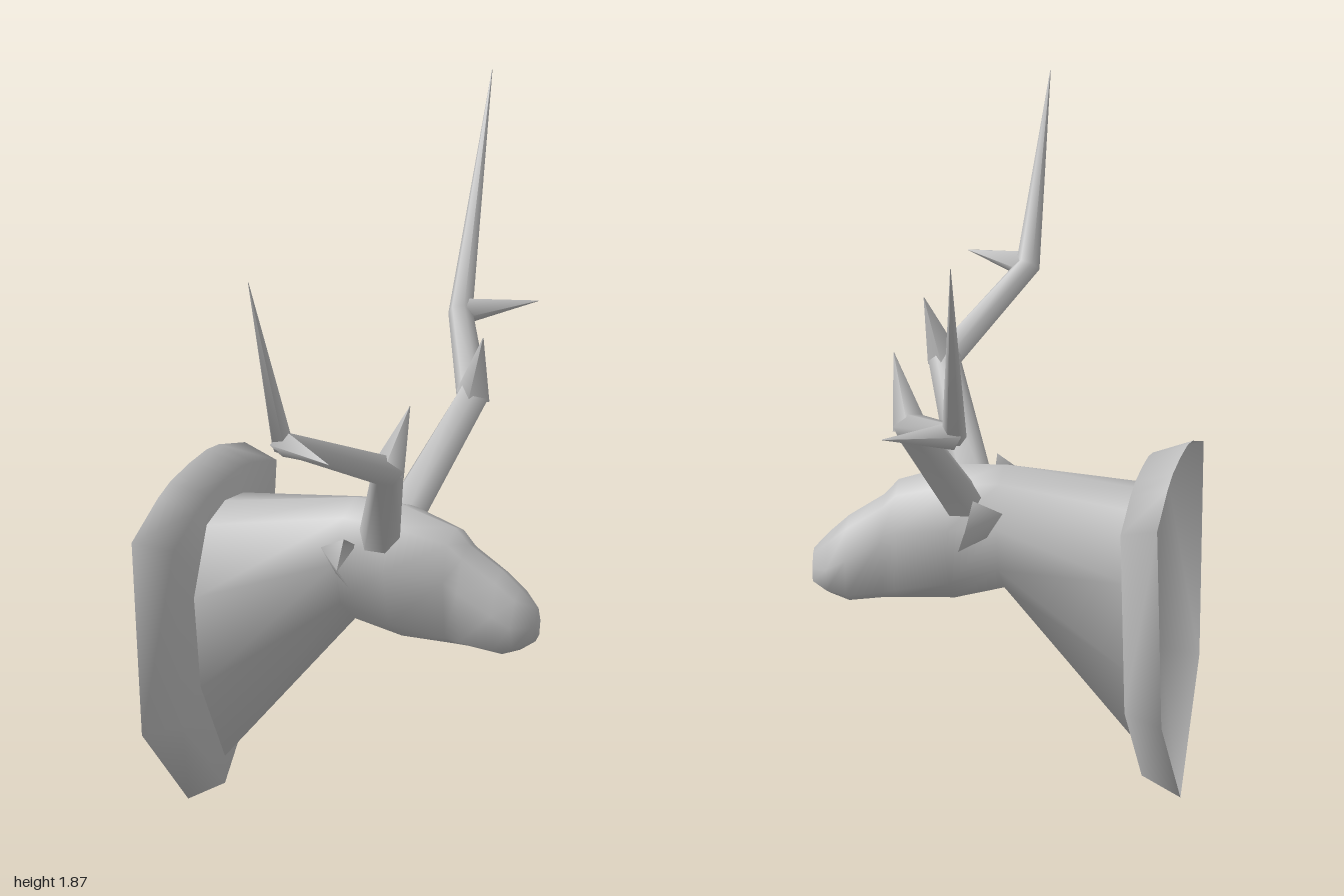
import * as THREE from 'three';

const MID = 0.15; // z of the head's own symmetry plane

// Skin a list of rings (arrays of Vector3, right-handed about the path), optionally closing the end.
function loft(rings, endPoint) {
  const n = rings[0].length, pos = [], idx = [];
  rings.forEach(r => r.forEach(p => pos.push(p.x, p.y, p.z)));
  for (let i = 0; i < rings.length - 1; i++) {
    for (let j = 0; j < n; j++) {
      const a = i * n + j, b = i * n + (j + 1) % n;
      idx.push(a, b, a + n, b, b + n, a + n);
    }
  }
  if (endPoint) {
    const base = (rings.length - 1) * n, tip = rings.length * n;
    pos.push(endPoint.x, endPoint.y, endPoint.z);
    for (let j = 0; j < n; j++) idx.push(base + j, base + (j + 1) % n, tip);
  }
  const g = new THREE.BufferGeometry();
  g.setAttribute('position', new THREE.Float32BufferAttribute(pos, 3));
  g.setIndex(idx);
  g.computeVertexNormals();
  return g;
}

// Mirrored ring in the plane x, from half-outline points [half width, y], top to bottom.
function mirrorRing(x, half) {
  const right = half.slice(1, -1).reverse().map(([w, y]) => [-w, y]);
  return [...half, ...right].map(([w, y]) => new THREE.Vector3(x, y, MID + w));
}

// Tapering limb through points [x, y, z] with a radius at each.
function limb(points, radii, sides) {
  const p = points.map(a => new THREE.Vector3(...a));
  const rings = p.map((c, i) => {
    const t = new THREE.Vector3();
    if (i > 0) t.add(c.clone().sub(p[i - 1]).normalize());
    if (i < p.length - 1) t.add(p[i + 1].clone().sub(c).normalize());
    t.normalize();
    const u = new THREE.Vector3(1, 0, 0).addScaledVector(t, -t.x).normalize();
    const v = t.clone().cross(u);
    return Array.from({ length: sides }, (_, k) => {
      const a = k / sides * Math.PI * 2;
      return c.clone().addScaledVector(u, Math.cos(a) * radii[i]).addScaledVector(v, Math.sin(a) * radii[i]);
    });
  });
  return loft(rings);
}

export function createModel() {
  const group = new THREE.Group();
  const grey = new THREE.MeshStandardMaterial({ color: 0xc0c0c0, side: THREE.DoubleSide });
  grey.name = 'plain grey';
  const add = (name, geometry, parent = group) => {
    const m = new THREE.Mesh(geometry, grey);
    m.name = name;
    parent.add(m);
  };

  // Shield-shaped wall plaque, a shell open at the back
  const shield = [[0, 0.995], [0.15, 0.99], [0.25, 0.973], [0.465, 0.91], [0.38, 0.31], [0, 0.0]];
  const face = shield.map(([w, y]) => [w * 0.91, 0.06 + y * 0.905]);
  add('plaque', loft([mirrorRing(-0.52, shield), mirrorRing(-0.41, face)], new THREE.Vector3(-0.41, 0.55, MID)));

  // Neck and head: x, then half-outline from top to bottom
  const sections = [
    [-0.41, [[0, 0.9], [0.15, 0.875], [0.255, 0.69], [0.2, 0.41], [0, 0.14]]],
    [-0.02, [[0, 0.955], [0.1, 0.925], [0.165, 0.81], [0.125, 0.68], [0, 0.595]]],
    [0.12, [[0, 0.95], [0.1, 0.915], [0.16, 0.8], [0.11, 0.63], [0, 0.56]]],
    [0.28, [[0, 0.9], [0.07, 0.87], [0.108, 0.77], [0.09, 0.6], [0, 0.555]]],
    [0.32, [[0, 0.855], [0.06, 0.83], [0.1, 0.74], [0.085, 0.59], [0, 0.553]]],
    [0.42, [[0, 0.79], [0.055, 0.765], [0.092, 0.68], [0.078, 0.575], [0, 0.54]]],
    [0.475, [[0, 0.74], [0.05, 0.72], [0.088, 0.65], [0.07, 0.585], [0, 0.56]]],
    [0.52, [[0, 0.69], [0.025, 0.68], [0.04, 0.64], [0.03, 0.6], [0, 0.59]]],
  ];
  add('head', loft(sections.map(([x, half]) => mirrorRing(x, half)), new THREE.Vector3(0.52, 0.64, MID)));

  // Cupped ears: a ridge point at the back, fanned to the rim
  const ridge = [-0.045, 0.872, 0.215];
  const rim = [[0.03, 0.86, 0.13], [0.035, 0.915, 0.245], [0.045, 0.85, 0.33], [0.072, 0.775, 0.28], [0.0, 0.8, 0.215]];
  for (const side of [1, -1]) {
    const at = ([x, y, w]) => new THREE.Vector3(x, y, MID + side * w);
    const ring = rim.map(at);
    if (side < 0) ring.reverse();
    add(side > 0 ? 'rightEar' : 'leftEar', loft([ring], at(ridge)));
  }

  // Antlers: each a bent beam with a tine at both joints
  const antlers = {
    rightAntler: {
      beam: [[0.08, 0.86, 0.23], [0.195, 1.16, 0.47], [0.01, 1.34, 0.83], [-0.03, 1.865, 1.0]],
      tines: [[0.25, 1.35, 0.44], [0.2, 1.34, 0.97]],
    },
    leftAntler: {
      beam: [[0.08, 0.86, 0.06], [0.195, 1.16, -0.225], [0.012, 1.26, -0.625], [-0.03, 1.855, -1.0]],
      tines: [[0.25, 1.36, -0.16], [0.2, 1.275, -0.75]],
    },
  };
  for (const [name, { beam, tines }] of Object.entries(antlers)) {
    const antler = new THREE.Group();
    antler.name = name;
    group.add(antler);
    add('beam', limb(beam, [0.06, 0.048, 0.035, 0.001], 6), antler);
    tines.forEach((tip, i) => add('tine', limb([beam[i + 1], tip], [0.05 - i * 0.008, 0.001], 4), antler));
  }
  return group;
}
